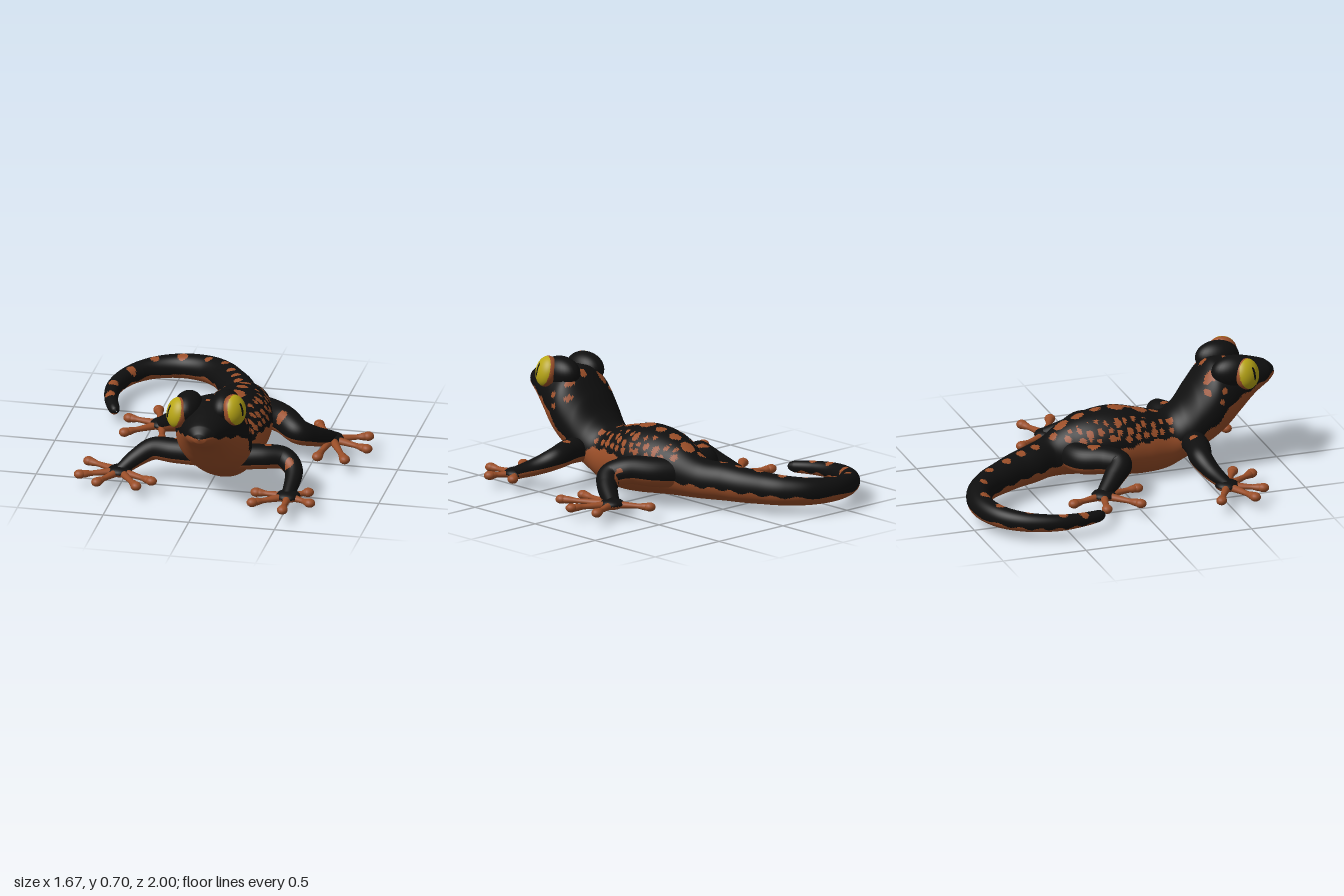
import * as THREE from 'three';

const mat = (name, color) => Object.assign(new THREE.MeshStandardMaterial({ color }), { name });
const black = mat('black skin', 0x0f0f0f);
const orange = mat('orange skin', 0x9a4e28);
const yellow = mat('yellow eye', 0xb8a616);

let seed = 7;
const rand = () => (seed = (seed * 16807) % 2147483647) / 2147483647;

// Nose to hips: z, height of centre, half width, half height, height of the belly colour
const trunk = [
  [1, 0.515, 0.004, 0.004, 0.52], [0.99, 0.517, 0.04, 0.03, 0.52], [0.95, 0.517, 0.085, 0.064, 0.51],
  [0.86, 0.5, 0.13, 0.108, 0.48], [0.76, 0.46, 0.172, 0.168, 0.45], [0.68, 0.425, 0.205, 0.213, 0.41],
  [0.6, 0.39, 0.218, 0.238, 0.31], [0.5, 0.3, 0.2, 0.21, 0.24], [0.42, 0.225, 0.18, 0.175, 0.22],
  [0.34, 0.18, 0.176, 0.165, 0.24], [0.2, 0.188, 0.198, 0.188, 0.25], [0.05, 0.21, 0.21, 0.2, 0.23],
  [-0.1, 0.215, 0.195, 0.185, 0.2], [-0.25, 0.2, 0.15, 0.155, 0.16],
];
// Curl of the tail seen from above: x, z
const tail = [
  [0.035, -0.38], [-0.025, -0.5], [-0.065, -0.6], [-0.12, -0.7], [-0.19, -0.81], [-0.3, -0.9],
  [-0.46, -0.935], [-0.62, -0.885], [-0.73, -0.77], [-0.785, -0.6], [-0.77, -0.45], [-0.725, -0.325],
];
// Full spine sections: x, y, z, half width, half height, belly height; the tail tapers evenly
const spine = trunk.map(([z, y, rx, ry, edge]) => [0.06, y, z, rx, ry, edge]);
tail.forEach(([x, z], k) => {
  const r = 0.116 - 0.0075 * k, y = 0.166 - 0.0073 * k;
  spine.push([x, y, z, r * 0.95, r, y - 0.022]);
});
spine.push([-0.71, 0.086, -0.297, 0.02, 0.02, 0.065], [-0.705, 0.086, -0.288, 0.003, 0.003, 0.065]);

// Spots seen from above: x, z, radius; the tail carries one near each of its points
const topSpots = [
  [0.07, -0.28, 0.04], [0.07, -0.18, 0.035], [0.08, -0.07, 0.032], [0.07, 0.05, 0.05],
  [0.06, 0.19, 0.045], [0.07, 0.28, 0.025], [0.08, 0.12, 0.025], [-0.055, 0.57, 0.028],
  [0.08, 0.58, 0.02], [0.045, 0.7, 0.015], [-0.165, -0.16, 0.035], [0.32, -0.02, 0.03],
  [0.44, -0.1, 0.026], [-0.19, 0.43, 0.022], [0.48, 0.51, 0.025], [0.34, 0.44, 0.022],
];
for (const [x, z] of tail.slice(0, -1))
  topSpots.push([x + 0.03 * (rand() - 0.5), z + 0.04 * rand(), 0.022 + 0.008 * rand()]);

// Spots seen from the side: z, y, radius
const sideSpots = [[0.58, 0.57, 0.02], [0.64, 0.5, 0.018], [0.62, 0.44, 0.016], [0.55, 0.49, 0.018]];
for (let i = 0; i < 12; i++) for (let j = 0; j < 3; j++)
  sideSpots.push([0.33 - 0.055 * i + 0.025 * rand(), 0.275 + 0.043 * j + 0.02 * rand(), 0.011 + 0.01 * rand()]);

const hit = (spots, a, b) => spots.some(([u, v, r]) => (a - u) ** 2 + (b - v) ** 2 < r * r);

// Sort triangles into one group per material
function paint(geo, count, pick) {
  const pos = geo.attributes.position, idx = geo.index.array;
  const lists = Array.from({ length: count }, () => []);
  const p = new THREE.Vector3(), q = new THREE.Vector3();
  for (let k = 0; k < idx.length; k += 3) {
    p.set(0, 0, 0);
    for (let m = 0; m < 3; m++) p.addScaledVector(q.fromBufferAttribute(pos, idx[k + m]), 1 / 3);
    lists[pick(p, k / 3)].push(idx[k], idx[k + 1], idx[k + 2]);
  }
  geo.setIndex(lists.flat());
  let start = 0;
  lists.forEach((l, i) => { geo.addGroup(start, l.length, i); start += l.length; });
  return geo;
}

// Smooth skin through sections [x, y, z, rx, ry, edge]; pick(point, height, edge) gives the colour
function loft(rows, rings, sides, upright, pick) {
  const path = new THREE.CatmullRomCurve3(rows.map(r => new THREE.Vector3(r[0], r[1], r[2])));
  const size = new THREE.CatmullRomCurve3(
    rows.map(r => new THREE.Vector3(r[3], r[4], r[5] ?? 0)), false, 'catmullrom', 0.5);
  const verts = [], index = [], edges = [];
  const Y = new THREE.Vector3(0, 1, 0);
  for (let i = 0; i <= rings; i++) {
    const c = path.getPoint(i / rings), s = size.getPoint(i / rings), t = path.getTangent(i / rings);
    if (upright) t.setY(0).normalize();
    const side = new THREE.Vector3().crossVectors(t, Y).normalize();
    const up = new THREE.Vector3().crossVectors(side, t);
    edges.push(s.z);
    for (let j = 0; j < sides; j++) {
      const a = (j / sides) * Math.PI * 2;
      const v = c.clone().addScaledVector(side, Math.cos(a) * s.x).addScaledVector(up, Math.sin(a) * s.y);
      verts.push(v.x, v.y, v.z);
      if (i === rings) continue;
      const n = (j + 1) % sides, A = i * sides, B = A + sides;
      index.push(A + j, B + j, A + n, B + j, B + n, A + n);
    }
  }
  const geo = new THREE.BufferGeometry();
  geo.setAttribute('position', new THREE.Float32BufferAttribute(verts, 3));
  geo.setIndex(index);
  geo.computeVertexNormals();
  if (!pick) return geo;
  return paint(geo, 2, (p, k) => {
    const ring = Math.floor(k / (2 * sides)), j = Math.floor((k % (2 * sides)) / 2);
    return pick(p, Math.sin(((j + 0.5) / sides) * Math.PI * 2), edges[ring]) ? 1 : 0;
  });
}

const bodySkin = (p, h, edge) =>
  p.y < edge + 0.008 * Math.sin(p.z * 60) ||
  (h > 0.1 && hit(topSpots, p.x, p.z)) || (h < 0.9 && hit(sideSpots, p.z, p.y));
const limbSkin = (p, h) => h < -0.4 || (h > 0.1 && hit(topSpots, p.x, p.z));

// Legs: shoulder radius, path to the palm [x, y, z] and toe tips [x, z]
const limbs = {
  rightFrontLeg: {
    radius: 0.074,
    path: [[-0.03, 0.2, 0.46], [-0.2, 0.2, 0.455], [-0.33, 0.19, 0.43], [-0.42, 0.14, 0.46], [-0.505, 0.078, 0.525]],
    toes: [[-0.71, 0.42], [-0.72, 0.62], [-0.6, 0.71], [-0.37, 0.72], [-0.3, 0.63]],
  },
  leftFrontLeg: {
    radius: 0.074,
    path: [[0.15, 0.2, 0.48], [0.31, 0.21, 0.455], [0.43, 0.2, 0.43], [0.5, 0.16, 0.49], [0.51, 0.078, 0.68]],
    toes: [[0.32, 0.66], [0.33, 0.81], [0.52, 0.88], [0.65, 0.75], [0.61, 0.6]],
  },
  rightHindLeg: {
    radius: 0.088,
    path: [[0.02, 0.19, -0.25], [-0.12, 0.19, -0.21], [-0.2, 0.2, -0.1], [-0.26, 0.19, -0.04],
      [-0.33, 0.14, -0.1], [-0.415, 0.078, -0.19]],
    toes: [[-0.48, -0.39], [-0.62, -0.24], [-0.6, -0.03], [-0.37, 0.03]],
  },
  leftHindLeg: {
    radius: 0.088,
    path: [[0.1, 0.19, -0.26], [0.23, 0.2, -0.18], [0.33, 0.21, -0.08], [0.42, 0.18, -0.01],
      [0.49, 0.14, -0.06], [0.575, 0.078, -0.19]],
    toes: [[0.46, -0.38], [0.77, -0.27], [0.8, -0.09], [0.71, 0.09], [0.55, 0.08]],
  },
};

export function createModel() {
  const model = new THREE.Group();
  model.name = 'gecko';
  const add = (parent, name, geo, material) => {
    const mesh = new THREE.Mesh(geo, material);
    mesh.name = name;
    parent.add(mesh);
    return mesh;
  };
  const skin = [black, orange];

  add(model, 'bodyAndTail', loft(spine, 336, 96, true, bodySkin), skin);

  // Legs, each with a palm and padded toes
  for (const [name, { radius, path, toes }] of Object.entries(limbs)) {
    const limb = new THREE.Group();
    limb.name = name;
    model.add(limb);
    const sections = path.map((p, i) => {
      const r = radius * (1 - 0.5 * (i / (path.length - 1)) ** 2);
      return [...p, r, r];
    });
    add(limb, 'leg', loft(sections, 70, 36, false, limbSkin), skin);
    const palm = path.at(-1);
    const palmGeo = paint(new THREE.SphereGeometry(1, 24, 16), 2, p => (p.y < -0.1 ? 1 : 0));
    const hand = add(limb, 'palm', palmGeo, skin);
    hand.scale.set(0.07, 0.032, 0.07);
    hand.position.set(...palm);
    for (const [x, z] of toes) {
      const at = (k, r) => [palm[0] + (x - palm[0]) * k, 0.075, palm[2] + (z - palm[2]) * k, r, r * 0.9];
      const toe = [at(0.15, 0.026), at(0.4, 0.021), at(0.7, 0.017), at(0.86, 0.024), at(1, 0.024)];
      add(limb, 'toe', loft(toe, 20, 12, false), orange);
      const pad = add(limb, 'toePad', new THREE.SphereGeometry(1, 16, 12), orange);
      pad.scale.set(0.031, 0.026, 0.034);
      pad.position.set(x, 0.075, z);
      pad.rotation.y = Math.atan2(x - palm[0], z - palm[2]);
    }
  }

  // Eyes with a slit pupil and an orange rim, set in brow bumps
  const eyes = [
    ['rightEye', [-0.112, 0.58, 0.78], [-0.8, 0.25, 0.5], [-0.065, 0.59, 0.715]],
    ['leftEye', [0.208, 0.61, 0.745], [0.85, 0.25, 0.35], [0.145, 0.605, 0.69]],
  ];
  for (const [name, at, facing, browAt] of eyes) {
    const geo = paint(new THREE.SphereGeometry(1, 64, 48), 3, p => {
      if (p.z > 0 && Math.abs(p.x) < 0.13 * (1 - (p.y / 0.5) ** 2)) return 0;
      return p.z < 0.25 ? 1 : 2;
    });
    const eye = add(model, name, geo, [black, orange, yellow]);
    eye.scale.set(0.083, 0.09, 0.06);
    eye.position.set(...at);
    eye.lookAt(new THREE.Vector3(...at).add(new THREE.Vector3(...facing)));
    const brow = add(model, 'brow', new THREE.SphereGeometry(1, 32, 24), black);
    brow.scale.set(0.085, 0.092, 0.13);
    brow.position.set(...browAt);
  }
  return model;
}
